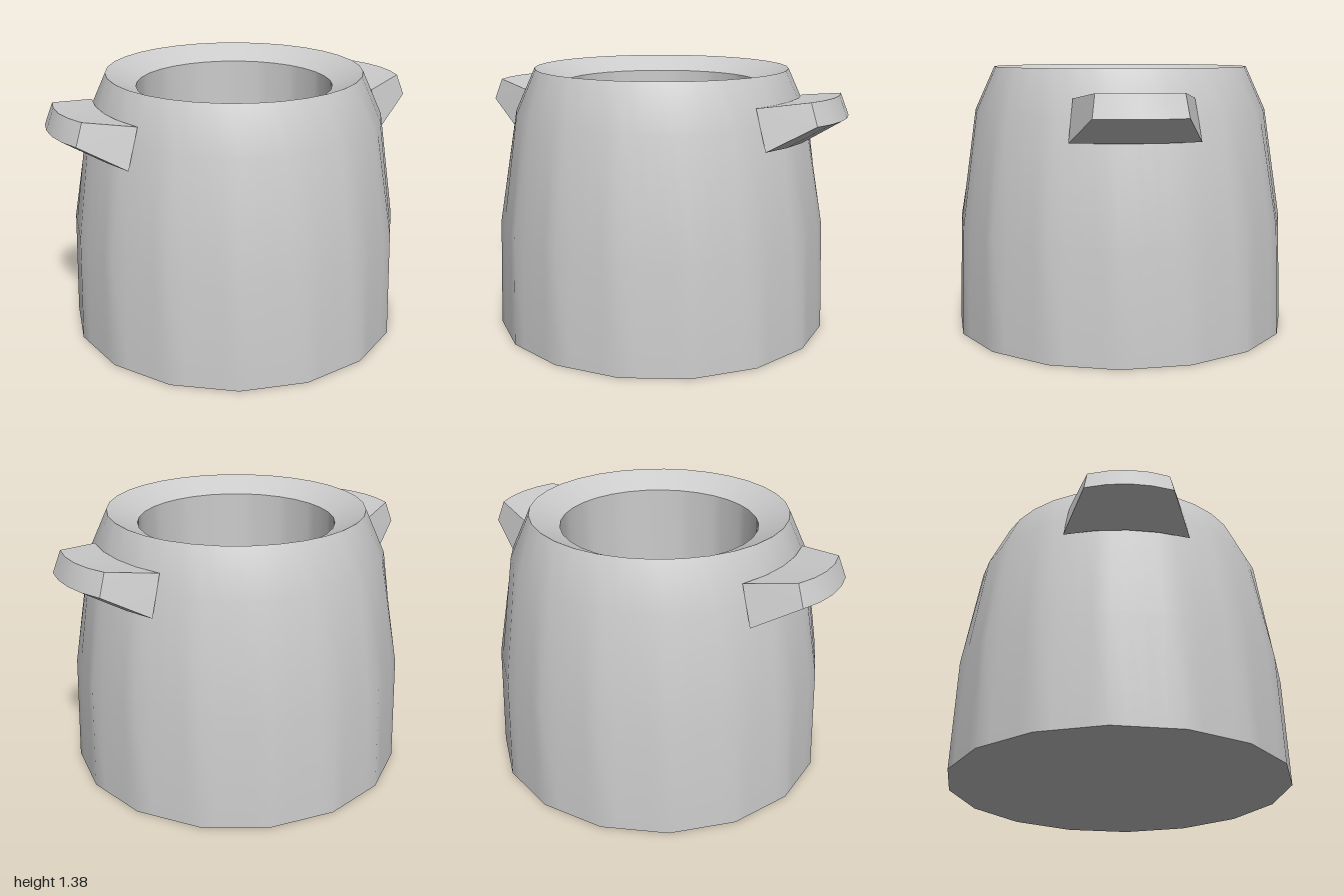
import * as THREE from 'three';
import { toCreasedNormals } from 'three/addons/utils/BufferGeometryUtils.js';

const material = new THREE.MeshStandardMaterial({ color: 0xcccccc, side: THREE.DoubleSide });
const COLUMNS = 64;
const PHASE = Math.PI / 32; // turn of the 16-sided lower rings

function build(positions, index) {
  const g = new THREE.BufferGeometry();
  g.setAttribute('position', new THREE.Float32BufferAttribute(positions, 3));
  g.setIndex(index);
  return g;
}

// distance to the edge of a regular polygon at a given angle
function polygonRadius(r, sides, phase, angle) {
  const step = (2 * Math.PI) / sides;
  const a = (((angle - phase) % step) + step) % step;
  return (r * Math.cos(step / 2)) / Math.cos(a - step / 2);
}

// smooth surface through polygonal rings [radius, y, sides, phase]
function band(name, rings) {
  const pos = [], index = [];
  rings.forEach(([r, y, sides, phase], i) => {
    for (let j = 0; j < COLUMNS; j++) {
      const t = (j / COLUMNS) * Math.PI * 2;
      const d = polygonRadius(r, sides, phase, t);
      pos.push(d * Math.cos(t), y, d * Math.sin(t));
      if (i === rings.length - 1) continue;
      const a = i * COLUMNS + j, b = i * COLUMNS + ((j + 1) % COLUMNS);
      index.push(a, b, a + COLUMNS, b, b + COLUMNS, a + COLUMNS);
    }
  });
  const g = build(pos, index);
  g.computeVertexNormals();
  const mesh = new THREE.Mesh(g, material);
  mesh.name = name;
  return mesh;
}

// curved lug: four-cornered section swept across z
function handleGeometry() {
  // corner: x in the middle, x at the ends, y, half width
  const corners = [
    [0.73, 0.68, 1.24, 0.285],
    [0.96, 0.92, 1.275, 0.2],
    [1.0, 0.96, 1.165, 0.215],
    [0.8, 0.745, 1.04, 0.31],
  ];
  const pos = [], index = [], steps = 4;
  for (let s = 0; s <= steps; s++) {
    const t = (2 * s) / steps - 1;
    for (const [mid, end, y, half] of corners) {
      // top edges dip a little toward the ends of the inner arc
      pos.push(mid + (end - mid) * t * t, y, half * t);
    }
    if (s === steps) continue;
    for (let k = 0; k < 4; k++) {
      const a = s * 4 + k, b = s * 4 + ((k + 1) % 4);
      index.push(a, a + 4, b, b, a + 4, b + 4);
    }
  }
  const e = steps * 4;
  index.push(0, 1, 2, 0, 2, 3, e, e + 2, e + 1, e, e + 3, e + 2);
  return toCreasedNormals(build(pos, index), 0.5);
}

export function createModel() {
  const group = new THREE.Group();

  // pot body, from the inside floor over the rim to the underside
  const floor = [0.51, 0.3, 16, PHASE];
  const mouth = [0.51, 1.3, 32, 0];
  const rim = [0.665, 1.375, 32, 0];
  const base = [0.883, 0, 16, PHASE];
  group.add(
    band('innerFloor', [[0, 0.3, 16, PHASE], floor]),
    band('innerWall', [floor, mouth]),
    band('rim', [mouth, rim]),
    band('outerWall', [rim, [0.768, 1.15, 32, 0], [0.865, 0.57, 16, PHASE], base]),
    band('underside', [base, [0, 0, 16, PHASE]])
  );

  // handles on both sides
  const geometry = handleGeometry();
  ['leftHandle', 'rightHandle'].forEach((name, i) => {
    const handle = new THREE.Mesh(geometry, material);
    handle.name = name;
    handle.rotation.y = i * Math.PI;
    group.add(handle);
  });
  return group;
}
